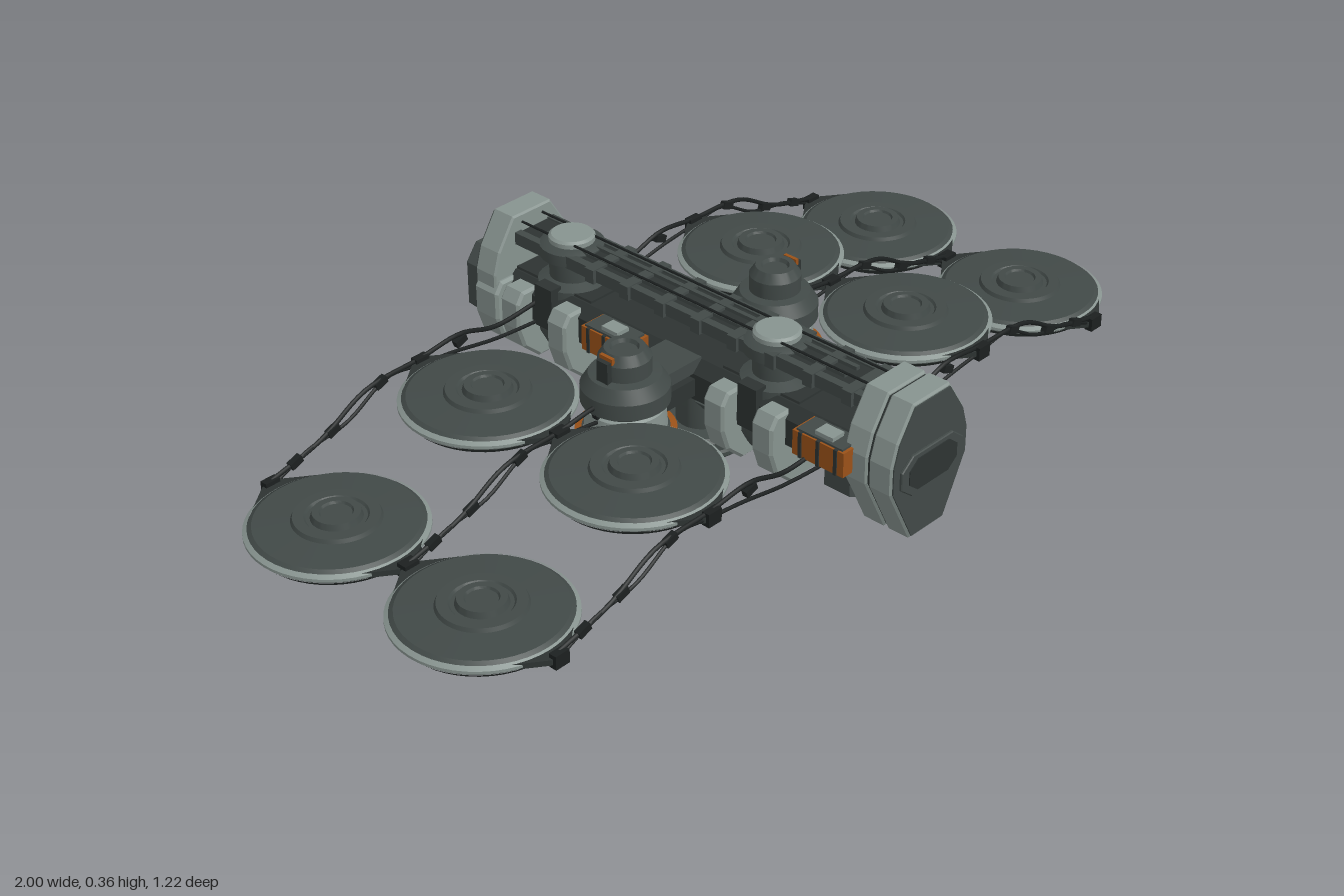
import * as THREE from 'three';
import { toCreasedNormals } from 'three/addons/utils/BufferGeometryUtils.js';

const paint = (name, color) => {
  const m = new THREE.MeshStandardMaterial({ color });
  m.name = name;
  return m;
};

export function createModel() {
  const dark = paint('dark grey', 0x414947);
  const deep = paint('charcoal', 0x2d3332);
  const light = paint('light grey', 0x87938f);
  const orange = paint('burnt orange', 0x9a5118);
  const black = paint('cable black', 0x1c2020);

  const model = new THREE.Group();
  model.name = 'spacecraft';

  const add = (parent, name, geo, mat, x = 0, y = 0, z = 0) => {
    const mesh = new THREE.Mesh(geo, mat);
    mesh.name = name;
    mesh.position.set(x, y, z);
    parent.add(mesh);
    return mesh;
  };
  const group = (name, x = 0, y = 0, z = 0) => {
    const g = new THREE.Group();
    g.name = name;
    g.position.set(x, y, z);
    model.add(g);
    return g;
  };
  const box = (p, name, mat, w, h, d, x, y, z) =>
    add(p, name, new THREE.BoxGeometry(w, h, d), mat, x, y, z);
  // Turned part: profile as [radius, height] pairs from bottom to top
  const turned = (p, name, mat, profile, segments = 40, x = 0, y = 0, z = 0) =>
    add(p, name, toCreasedNormals(new THREE.LatheGeometry(
      profile.map(([r, h]) => new THREE.Vector2(r, h)), segments), 0.5), mat, x, y, z);
  // Symmetric prism along z: right half outline listed from bottom to top
  const prism = (p, name, mat, half, z0, z1, bevel = 0) => {
    const pts = [...half, ...half.map(([x, y]) => [-x, y]).reverse()];
    const shape = new THREE.Shape(pts.map(([x, y]) => new THREE.Vector2(x, y)));
    const geo = new THREE.ExtrudeGeometry(shape, {
      depth: z1 - z0 - 2 * bevel, bevelEnabled: bevel > 0, bevelSize: bevel,
      bevelThickness: bevel, bevelOffset: -bevel, bevelSegments: 1,
    });
    return add(p, name, geo, mat, 0, 0, z0 + bevel);
  };
  const tube = (p, name, mat, points, r = 0.005) =>
    add(p, name, new THREE.TubeGeometry(new THREE.CatmullRomCurve3(
      points.map(v => new THREE.Vector3(...v)), false, 'centripetal'), 40, r, 6), mat);

  // Main hull and the boom above it
  const hull = group('hull');
  prism(hull, 'hullCore', deep,
    [[0.045, 0.12], [0.08, 0.15], [0.08, 0.21], [0.055, 0.235]], -0.5, 0.49);
  prism(hull, 'keel', dark, [[0.03, 0.09], [0.05, 0.12]], -0.12, 0.12);
  box(hull, 'boom', deep, 0.09, 0.02, 0.98, 0, 0.312, 0);
  for (const s of [-1, 1]) {
    box(hull, 'boomRail', dark, 0.018, 0.028, 0.98, s * 0.048, 0.312, 0);
    box(hull, 'boomRib', dark, 0.01, 0.012, 0.8, s * 0.018, 0.324, 0);
    tube(hull, 'topLine', black, [[s * 0.03, 0.34, -0.5], [s * 0.03, 0.34, 0], [s * 0.03, 0.34, 0.5]], 0.003);
  }
  for (let z = -0.26; z < 0.45; z += 0.1)
    box(hull, 'boomCollar', dark, 0.13, 0.032, 0.025, 0, 0.312, z);

  // Elongated octagonal end caps
  const capHalf = [[0.05, 0.05], [0.1, 0.15], [0.115, 0.18], [0.115, 0.24], [0.1, 0.29], [0.055, 0.36]];
  const inset = (half, k) => half.map(([x, y]) => [x * k, 0.205 + (y - 0.205) * k]);
  const slot = k => [[0.055 * k, 0.205 - 0.042 * k], [0.085 * k, 0.205 - 0.018 * k],
    [0.085 * k, 0.205 + 0.018 * k], [0.055 * k, 0.205 + 0.042 * k]];
  const frontCap = group('frontCap');
  prism(frontCap, 'capBack', light, capHalf, 0.48, 0.537, 0.004);
  prism(frontCap, 'capSeam', deep, inset(capHalf, 0.96), 0.535, 0.545);
  prism(frontCap, 'capFront', light, capHalf, 0.542, 0.598, 0.004);
  prism(frontCap, 'capFacePlate', dark, inset(capHalf, 0.96), 0.594, 0.601);
  prism(frontCap, 'slotFrame', dark, slot(1.1), 0.6, 0.608, 0.002);
  prism(frontCap, 'slot', deep, slot(0.85), 0.604, 0.61);
  const rearCap = group('rearCap');
  prism(rearCap, 'capPlate', light, capHalf, -0.555, -0.495, 0.004);
  prism(rearCap, 'capFacePlate', dark, inset(capHalf, 0.95), -0.559, -0.552);
  prism(rearCap, 'rearBlock', dark,
    [[0.05, 0.08], [0.1, 0.13], [0.1, 0.23], [0.07, 0.27]], -0.605, -0.555, 0.006);
  prism(rearCap, 'slot', deep, slot(0.9), -0.61, -0.602);

  // U-shaped clamps wrapping the underside
  const clampHalf = [[0.06, 0.05], [0.105, 0.09], [0.122, 0.14], [0.122, 0.2], [0.105, 0.225]];
  for (const [a, b] of [[0.115, 0.17], [0.245, 0.3], [-0.335, -0.28], [-0.475, -0.42], [-0.555, -0.485]]) {
    const clamp = group('clamp');
    prism(clamp, 'clampBand', light, clampHalf, a, b, 0.006);
    prism(clamp, 'clampSaddle', deep, [[0.055, 0.22], [0.05, 0.24]], a - 0.01, b + 0.01);
  }
  prism(hull, 'frontCollar', dark, [[0.06, 0.1], [0.1, 0.12], [0.1, 0.2], [0.07, 0.23]], 0.42, 0.485);

  // Columns that carry the boom, each topped by a round hub
  for (const z of [0.205, -0.375]) {
    const column = group('column', 0, 0, z);
    turned(column, 'columnShaft', dark, [[0, 0.09], [0.06, 0.09], [0.075, 0.12], [0.075, 0.24],
      [0.05, 0.25], [0.05, 0.295], [0.07, 0.3], [0.07, 0.325], [0.055, 0.332], [0, 0.332]], 24);
    turned(column, 'hubCap', light, [[0.05, 0.33], [0.05, 0.342], [0.044, 0.347], [0, 0.347]], 24);
    for (const s of [-1, 1]) box(column, 'columnRib', deep, 0.03, 0.1, 0.05, s * 0.075, 0.2, 0);
  }

  // Bottom docking wheel
  const wheel = group('bottomWheel');
  turned(wheel, 'wheelRim', dark, [[0, 0.012], [0.06, 0.012], [0.068, 0], [0.093, 0], [0.1, 0.007],
    [0.1, 0.016], [0.094, 0.02], [0.094, 0.026], [0.1, 0.03], [0.1, 0.042], [0.09, 0.05],
    [0.055, 0.052], [0.055, 0.13], [0, 0.13]]);
  turned(wheel, 'wheelHub', deep, [[0, 0.004], [0.035, 0.004], [0.045, 0.013]]);

  // One dish; local y = 0 is its rim
  const dish = (x, y, z) => {
    const g = group('dish', x, y, z);
    turned(g, 'dishUpper', dark, [[0.175, 0.006], [0.165, 0.014], [0.09, 0.019], [0.086, 0.027],
      [0.064, 0.027], [0.06, 0.022], [0.052, 0.022], [0.048, 0.035], [0.034, 0.035],
      [0.031, 0.03], [0, 0.03]], 48);
    turned(g, 'dishRim', light, [[0.178, -0.008], [0.183, -0.003], [0.183, 0.003], [0.174, 0.009]], 48);
    turned(g, 'dishLower', deep, [[0, -0.04], [0.1, -0.04], [0.112, -0.046], [0.125, -0.046],
      [0.13, -0.033], [0.165, -0.022], [0.179, -0.008]], 48);
    // Irregular pale panels under the dish
    for (let i = 0; i < 5; i++) {
      const ring = new THREE.RingGeometry(0.02 + 0.012 * (i % 3), 0.07 + 0.012 * (i % 2), 6, 1,
        i * 1.257, 0.65 + 0.2 * (i % 2));
      add(g, 'underPanel', ring, light, 0, -0.041, 0).rotation.x = Math.PI / 2;
    }
    // Pointed lugs where the cables attach
    for (const s of [-1, 1]) {
      const shape = new THREE.Shape([[-0.085, 0.155], [0.085, 0.155], [0.02, 0.203], [-0.02, 0.203]]
        .map(p => new THREE.Vector2(...p)));
      const lug = add(g, 'lug', new THREE.ExtrudeGeometry(shape, { depth: 0.012, bevelEnabled: false }), deep, 0, s * 0.006, 0);
      lug.rotation.x = s * Math.PI / 2;
      box(g, 'lugPin', black, 0.035, 0.03, 0.018, 0, 0, s * 0.202);
    }
  };

  for (const s of [-1, 1]) {
    for (const z of [-0.205, 0.205]) {
      dish(s * 0.815, 0.09, z);
      dish(s * 0.41, 0.195, z);
    }

    // Cable pairs with spacers linking hull and dishes
    for (const z of [-0.407, 0, 0.403]) {
      const cables = group('cables', 0, 0, z);
      tube(cables, 'upperCable', black, [[s * 0.06, 0.2, 0], [s * 0.2, 0.19, 0], [s * 0.3, 0.215, 0],
        [s * 0.41, 0.205, 0], [s * 0.56, 0.195, 0], [s * 0.68, 0.135, 0], [s * 0.815, 0.1, 0]]);
      tube(cables, 'lowerCable', black, [[s * 0.06, 0.15, 0], [s * 0.2, 0.16, 0], [s * 0.32, 0.18, 0],
        [s * 0.41, 0.19, 0], [s * 0.5, 0.2, 0], [s * 0.61, 0.145, 0], [s * 0.72, 0.125, 0], [s * 0.815, 0.085, 0]], 0.004);
      for (const [x, y] of [[0.3, 0.2], [0.52, 0.197], [0.65, 0.143], [0.75, 0.115]])
        box(cables, 'cableClip', black, 0.03, 0.016, 0.014, s * x, y, 0).rotation.z = -s * 0.35;
    }

    // Side pods
    const pod = group('sidePod', s * 0.225, 0, 0);
    turned(pod, 'podLower', dark, [[0, 0.055], [0.04, 0.055], [0.045, 0.065], [0.075, 0.065],
      [0.082, 0.078], [0.07, 0.088], [0.098, 0.092], [0.105, 0.105], [0.105, 0.115], [0.09, 0.12]]);
    turned(pod, 'podRing', orange, [[0.09, 0.12], [0.104, 0.122], [0.104, 0.131], [0.09, 0.134]]);
    turned(pod, 'podSkirt', light, [[0.075, 0.134], [0.085, 0.14], [0.082, 0.185], [0.075, 0.19]]);
    turned(pod, 'podBody', dark, [[0.075, 0.188], [0.092, 0.2], [0.092, 0.235], [0.075, 0.262],
      [0.055, 0.265], [0.055, 0.3], [0.042, 0.32], [0.03, 0.32], [0.026, 0.312], [0, 0.312]]);
    box(pod, 'podMarker', orange, 0.008, 0.014, 0.035, s * 0.05, 0.311, 0);
    box(pod, 'podFin', deep, 0.02, 0.05, 0.03, s * 0.055, 0.285, 0);
    for (const z of [-0.04, 0.04])
      box(pod, 'podArm', deep, 0.17, 0.04, 0.03, -s * 0.1, 0.18, z);
    box(pod, 'podArmPlate', dark, 0.14, 0.03, 0.1, -s * 0.1, 0.225, 0);

    // Orange equipment boxes with grey fittings
    for (const z of [0.437, -0.142]) {
      const kit = group('equipmentBox', s * 0.11, 0.22, z);
      box(kit, 'boxBody', orange, 0.065, 0.055, 0.13, 0, 0, 0);
      box(kit, 'boxLid', dark, 0.056, 0.012, 0.116, 0, 0.026, 0);
      box(kit, 'boxFitting', light, 0.034, 0.014, 0.045, s * 0.004, 0.034, 0.005);
      for (const dz of [-0.045, 0, 0.045])
        box(kit, 'boxStrap', deep, 0.07, 0.058, 0.008, 0, 0, dz);
    }
  }
  return model;
}
